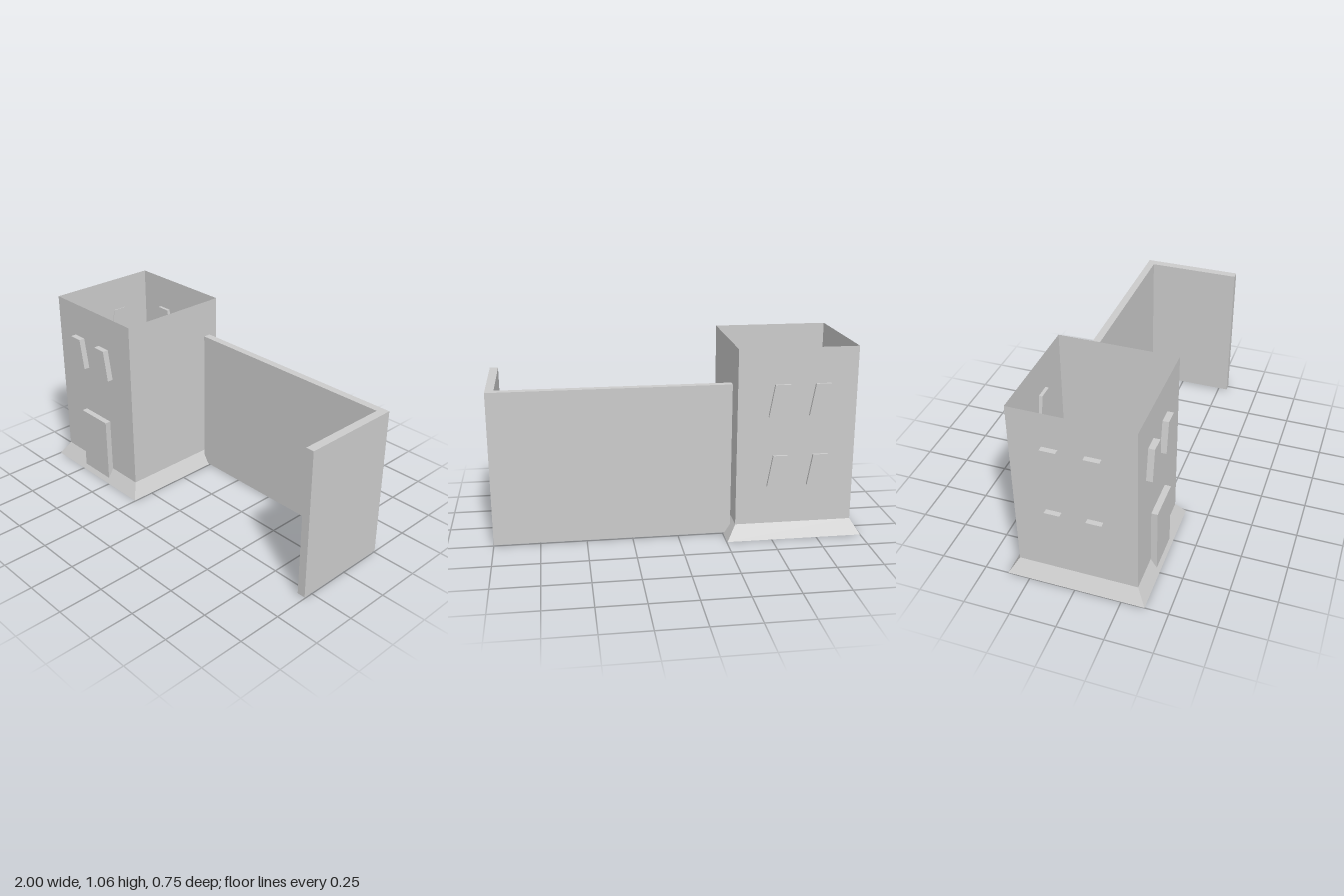
import * as THREE from 'three';

const DEPTH = 0.034; // thickness of the raised windows and door

function polygon(points) {
  return new THREE.Shape(points.map(([x, y]) => new THREE.Vector2(x, y)));
}

function extrude(points, depth) {
  return new THREE.ExtrudeGeometry(polygon(points), { depth, bevelEnabled: false });
}

// Open square tube between two heights, from half-widths at top and bottom
function squareTube(topHalf, bottomHalf, y0, y1) {
  const r = Math.SQRT2;
  const geo = new THREE.CylinderGeometry(topHalf * r, bottomHalf * r, y1 - y0, 4, 1, true, Math.PI / 4);
  geo.translate(-0.6275, (y0 + y1) / 2, 0.001);
  return geo;
}

export function createModel() {
  const model = new THREE.Group();
  const solid = new THREE.MeshStandardMaterial({ color: 0xcccccc, flatShading: true });
  const thin = new THREE.MeshStandardMaterial({ color: 0xcccccc, flatShading: true, side: THREE.DoubleSide });

  const add = (name, geometry, material = solid) => {
    const mesh = new THREE.Mesh(geometry, material);
    mesh.name = name;
    model.add(mesh);
    return mesh;
  };

  // Thin-walled tower, open at top and bottom, with a flared foot
  add('towerWalls', squareTube(0.3225, 0.3225, 0.08, 1.055), thin);
  add('towerFoot', squareTube(0.3225, 0.3725, 0, 0.08), thin);

  // Tapered windows, raised from the walls
  const windowGeo = extrude([[-0.071, 0], [0.071, 0], [0.041, 0.173], [-0.041, 0.173]], DEPTH);
  const addWindow = (name, x, y, z, turn) => {
    const pane = add(name, windowGeo);
    pane.position.set(x, y, z);
    pane.rotation.y = turn;
  };
  const upper = 0.688, lower = 0.296;
  for (const x of [-0.763, -0.543]) {
    addWindow('frontWindow', x, upper, 0.323, 0);
    for (const y of [upper, lower]) addWindow('backWindow', x, y, -0.303, Math.PI);
  }
  for (const z of [-0.11, 0.107]) {
    for (const y of [upper, lower]) addWindow('sideWindow', -0.945, y, z, -Math.PI / 2);
  }

  // Door slab, its lower end cut to sit on the sloping foot
  const door = add('door', extrude([[-0.357, 0.024], [-0.323, 0.08], [-0.323, 0.4], [-0.357, 0.4]], 0.226));
  door.rotation.y = Math.PI / 2;
  door.position.x = -0.745;

  // L-shaped wall: long run from the tower, then a wing toward the front
  const wallGeo = extrude([
    [-0.29, 0.255], [1, 0.255], [1, -0.305], [0.954, -0.305], [0.954, 0.213], [-0.29, 0.213],
  ], 0.845);
  wallGeo.rotateX(-Math.PI / 2);
  add('cornerWall', wallGeo).position.y = 0.007;

  return model;
}
